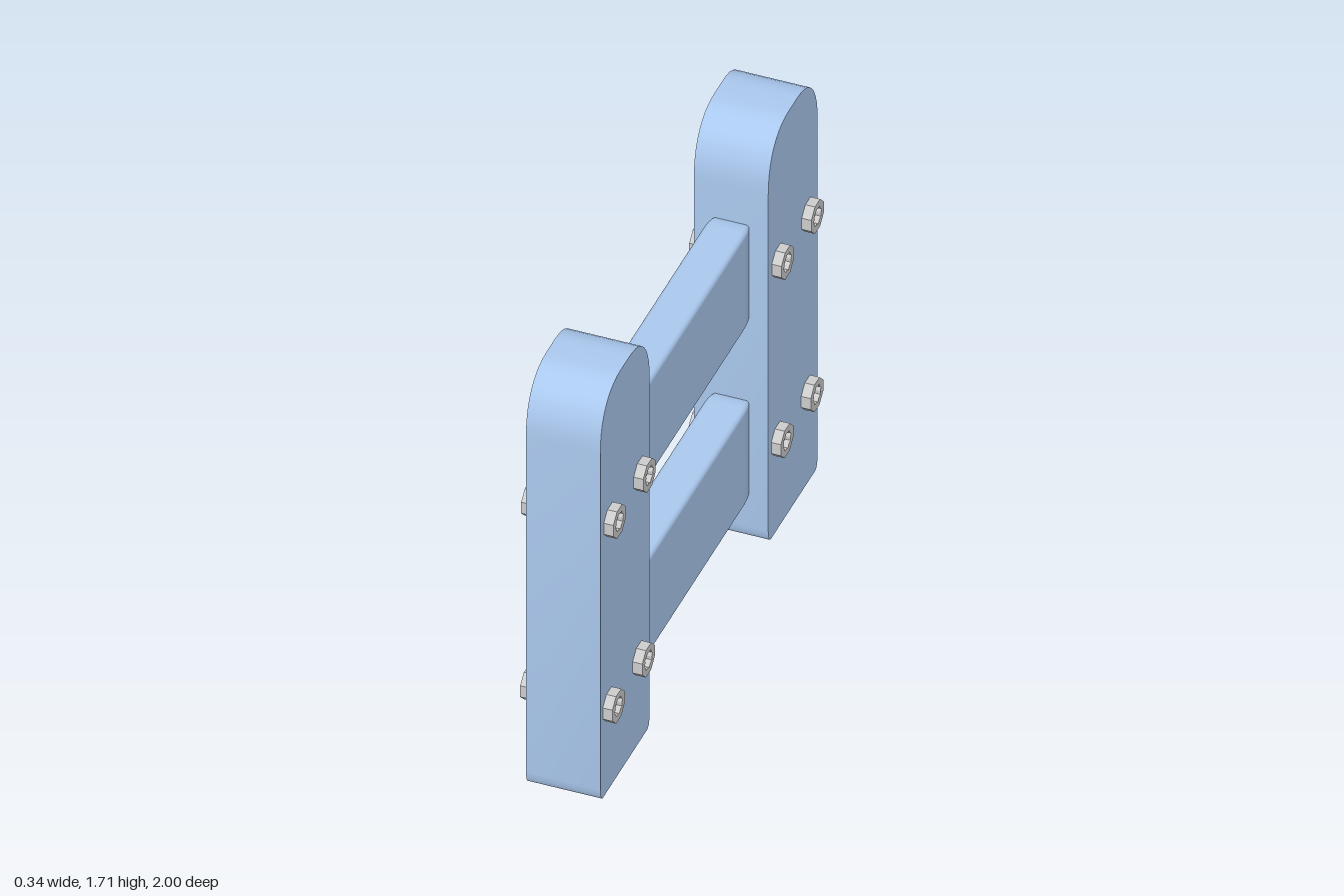
import * as THREE from 'three';
import { toCreasedNormals } from 'three/addons/utils/BufferGeometryUtils.js';
import { RoundedBoxGeometry } from 'three/addons/geometries/RoundedBoxGeometry.js';

const paint = new THREE.MeshStandardMaterial({ color: 0xaac8ee });
const steel = new THREE.MeshStandardMaterial({ color: 0xcccccc });

// Extrudes a shape along +x, centred on x = 0
function extrudeX(shape, depth, crease) {
  const g = new THREE.ExtrudeGeometry(shape, { depth, bevelEnabled: false, curveSegments: 10 });
  g.translate(0, 0, -depth / 2);
  g.rotateY(Math.PI / 2);
  return toCreasedNormals(g, crease);
}

// Upright board with a broad rounded top and small rounded foot
function postGeometry() {
  const w = 0.2275, h = 1.705, foot = 0.025;
  const s = new THREE.Shape();
  s.moveTo(-w + foot, 0);
  s.lineTo(w - foot, 0);
  s.quadraticCurveTo(w - 0.005, 0, w, 0.05);
  s.lineTo(w, 1.48);
  s.bezierCurveTo(w, 1.63, 0.15, h, 0.04, h);
  s.lineTo(-0.04, h);
  s.bezierCurveTo(-0.15, h, -w, 1.63, -w, 1.48);
  s.lineTo(-w, 0.05);
  s.quadraticCurveTo(-w + 0.005, 0, -w + foot, 0);
  return extrudeX(s, 0.27, 0.6);
}

// Closed ring of points with alternating radii
function ring(count, outer, inner) {
  return Array.from({ length: count }, (_, i) => {
    const a = ((i + 0.5) / count) * Math.PI * 2;
    const r = i % 2 ? inner : outer;
    return new THREE.Vector2(Math.cos(a) * r, Math.sin(a) * r);
  });
}

// Eight-sided bolt head with a star-shaped socket
function createBolt(headGeometry, floorGeometry) {
  const bolt = new THREE.Group();
  bolt.name = 'bolt';
  const head = new THREE.Mesh(headGeometry, steel);
  head.name = 'boltHead';
  const floor = new THREE.Mesh(floorGeometry, steel);
  floor.name = 'boltSocketFloor';
  bolt.add(head, floor);
  return bolt;
}

export function createModel() {
  const model = new THREE.Group();
  model.name = 'fence';

  // Posts
  const postGeo = postGeometry();
  for (const side of [1, -1]) {
    const post = new THREE.Mesh(postGeo, paint);
    post.name = side > 0 ? 'frontPost' : 'backPost';
    post.position.set(-0.005, 0, side * 0.7725);
    model.add(post);
  }

  // Rails, softened lengthwise where they meet the posts
  const stretch = 3.75;
  const railGeo = new RoundedBoxGeometry(0.15, 0.415, 1.11 / stretch, 4, 0.02);
  railGeo.scale(1, 1, stretch);
  for (const [name, y] of [['upperRail', 1.135], ['lowerRail', 0.3875]]) {
    const rail = new THREE.Mesh(railGeo, paint);
    rail.name = name;
    rail.position.set(-0.005, y, 0);
    model.add(rail);
  }

  // Bolts: a pair at each joint, on both faces
  const headShape = new THREE.Shape(ring(8, 0.062, 0.062));
  headShape.holes.push(new THREE.Path(ring(16, 0.037, 0.03)));
  const headGeo = extrudeX(headShape, 0.045, 0.3);
  const floorGeo = new THREE.CylinderGeometry(0.045, 0.045, 0.02, 8);
  floorGeo.rotateZ(Math.PI / 2);
  floorGeo.translate(-0.008, 0, 0);

  const joints = [[1.14, 0.773], [1.14, -0.773], [0.36, 0.782], [0.385, -0.768]];
  for (const face of [1, -1]) {
    for (const [y, z] of joints) {
      for (const dz of [-0.1375, 0.1375]) {
        const bolt = createBolt(headGeo, floorGeo);
        bolt.position.set(face > 0 ? 0.1425 : -0.1475, y, z + dz);
        if (face < 0) {
          bolt.rotation.y = Math.PI;
          bolt.position.y = y > 1 ? 1.145 : 0.37;
        }
        model.add(bolt);
      }
    }
  }
  return model;
}
